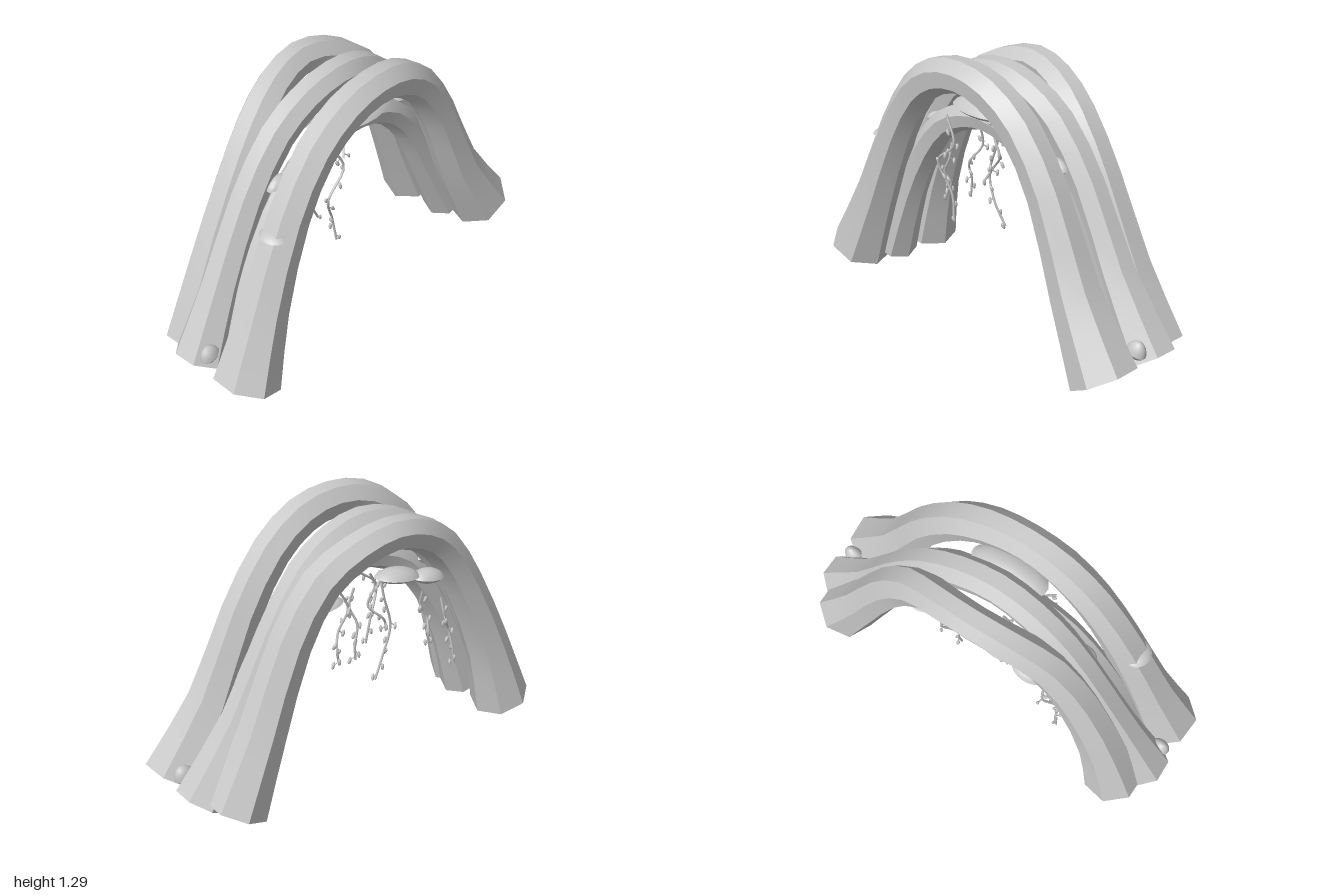
import * as THREE from 'three';
import { toCreasedNormals } from 'three/addons/utils/BufferGeometryUtils.js';

const SIDES = 7, RINGS = 20, LEAN = 0.03;
const V = (x, y, z) => new THREE.Vector3(x, y, z);

// Seven-sided trunk from half stations [x, y, z, radius], foot to crown, mirrored
// and leaning slightly to the right between the feet.
// Every side has its own vertices: smooth along the trunk, sharp around it.
function archGeometry(half, turn) {
  const mirrored = half.slice(0, -1).reverse().map(([x, y, z, r]) => [-x, y, z, r]);
  const stations = [...half, ...mirrored];
  const last = stations.length - 1;
  const path = new THREE.CatmullRomCurve3(
    stations.map(([x, y, z], i) => V(i % last ? x - LEAN : x, y, z)));
  const girth = new THREE.CatmullRomCurve3(stations.map((s, i) => V(s[3], i, 0)), false, 'catmullrom');
  const at = (i, j) => {
    const t = i / RINGS, p = path.getPoint(t), d = path.getTangent(t), r = girth.getPoint(t).x;
    const n = V(d.y, -d.x, 0).normalize();
    const a = turn + (j / SIDES) * Math.PI * 2;
    return p.addScaledVector(n, r * Math.sin(a)).add(V(0, 0, r * Math.cos(a)));
  };
  const pos = [], idx = [];
  const push = (p) => pos.push(p.x, p.y, p.z) / 3 - 1;
  for (let j = 0; j < SIDES; j++) {
    for (let i = 0; i <= RINGS; i++) {
      const k = push(at(i, j));
      push(at(i, j + 1));
      if (i < RINGS) idx.push(k, k + 1, k + 2, k + 1, k + 3, k + 2);
    }
  }
  // Flat cut ends
  for (const i of [0, RINGS]) {
    const c = push(path.getPoint(i / RINGS));
    for (let j = 0; j < SIDES; j++) push(at(i, j));
    for (let j = 0; j < SIDES; j++) {
      const a = c + 1 + j, b = c + 1 + ((j + 1) % SIDES);
      if (i === 0) idx.push(c, b, a); else idx.push(c, a, b);
    }
  }
  const g = new THREE.BufferGeometry();
  g.setAttribute('position', new THREE.Float32BufferAttribute(pos, 3));
  g.setIndex(idx);
  g.computeVertexNormals();
  return g;
}

export function createModel() {
  const model = new THREE.Group();
  model.name = 'trunkArch';
  const grey = new THREE.MeshStandardMaterial({ color: 0xc8c8c8 });
  grey.name = 'plain grey';
  let seed = 7;
  const rand = () => (seed = (seed * 16807) % 2147483647) / 2147483647;
  const add = (parent, name, geometry) => {
    const m = new THREE.Mesh(geometry, grey);
    m.name = name;
    parent.add(m);
    return m;
  };

  // Four bent trunks side by side, each turned a little about its own length
  const trunks = {
    frontTrunk: [18, [[.865, .077, .188, .157], [.695, .41, .175, .115], [.52, .8, .17, .096],
      [.348, 1.05, .175, .092], [.178, 1.168, .185, .09], [0, 1.203, .19, .086]]],
    middleTrunk: [12, [[.89, .085, -.07, .127], [.7, .42, -.073, .094], [.512, .78, -.073, .084],
      [.337, 1.02, -.06, .082], [.172, 1.125, -.045, .08], [0, 1.16, -.036, .08]]],
    backTrunk: [14, [[.795, .07, -.195, .148], [.665, .4, -.185, .112], [.497, .78, -.172, .098],
      [.337, 1.02, -.182, .092], [.172, 1.135, -.217, .084], [0, 1.178, -.235, .08]]],
    lowerTrunk: [12, [[.76, .07, .05, .11], [.6, .42, .042, .085], [.45, .7, .04, .076],
      [.3, .868, .045, .07], [.15, .943, .045, .066], [0, .967, .045, .064]]],
  };
  for (const [name, [turn, half]] of Object.entries(trunks)) {
    add(model, name, archGeometry(half, THREE.MathUtils.degToRad(turn)));
  }

  // Shelf mushrooms: flattened lenses with a sharp rim [x, y, z, rx, height, rz, tilt]
  const fungi = new THREE.Group();
  fungi.name = 'shelfMushrooms';
  model.add(fungi);
  const profile = [[0, -.6], [.4, -.52], [.75, -.3], [1, 0], [.9, .25], [.7, .52], [.38, .75], [0, .85]]
    .map(([x, y]) => new THREE.Vector2(x, y));
  const shelf = toCreasedNormals(new THREE.LatheGeometry(profile, 18), 0.8);
  [
    [0, 1.038, .1, .187, .066, .1, 0],
    [.11, 1.015, .1, .09, .045, .065, .1],
    [-.13, .925, -.17, .12, .05, .075, .15],
    [-.29, .885, -.195, .09, .05, .06, .15],
    [.4, .86, -.205, .075, .03, .045, 0],
    [.28, .915, -.19, .08, .035, .055, -.1],
    [.39, .865, .015, .06, .035, .035, -.3],
    [-.45, .85, .015, .06, .035, .035, .3],
    [-.635, .757, .17, .065, .032, .07, 0],
    [.91, .17, .04, .05, .065, .038, -.4],
    [-.92, .17, .02, .05, .065, .038, .4],
  ].forEach(([x, y, z, rx, h, rz, tilt]) => {
    const m = add(fungi, 'shelfMushroom', shelf);
    m.position.set(x, y, z);
    m.scale.set(rx, h, rz);
    m.rotation.z = tilt;
  });

  // Hanging vines with side twigs and buds
  const vines = new THREE.Group();
  vines.name = 'hangingVines';
  model.add(vines);
  const bud = new THREE.SphereGeometry(1, 6, 4);
  const strands = [
    { z: -.2, p: [[-.37, .76], [-.38, .66], [-.44, .56], [-.45, .46], [-.46, .38]] },
    { z: -.04, p: [[-.4, .72], [-.4, .64], [-.44, .56], [-.43, .49], [-.45, .42]] },
    { z: .14, p: [[-.22, .96], [-.16, .83], [-.27, .72], [-.21, .56], [-.19, .43]] },
    { z: -.08, p: [[-.1, .93], [-.12, .8], [-.17, .62], [-.13, .48], [-.07, .37]] },
    { z: -.06, p: [[-.06, .92], [-.1, .84], [-.06, .75], [-.13, .67], [-.17, .59]] },
    { z: -.15, p: [[.1, .93], [.12, .84], [.09, .75], [.11, .65], [.1, .57]] },
    { z: -.15, p: [[.19, .95], [.13, .83], [.18, .72], [.21, .64], [.17, .56]] },
  ];
  for (const { z, p } of strands) {
    const vine = new THREE.Group();
    vine.name = 'vine';
    vines.add(vine);
    const points = p.map(([x, y], i) => V(x, y, z + (i ? (rand() - .5) * .04 : 0)));
    const curve = new THREE.CatmullRomCurve3(points);
    add(vine, 'vineStem', new THREE.TubeGeometry(curve, 20, .006, 5));
    for (let k = 1; k <= 8; k++) {
      const start = curve.getPoint(k / 8.5);
      const angle = k * 2.4 + rand();
      const reach = .012 + rand() * .016;
      const tip = start.clone().add(V(Math.cos(angle) * reach, -.018, Math.sin(angle) * reach));
      add(vine, 'vineTwig', new THREE.TubeGeometry(new THREE.LineCurve3(start, tip), 1, .003, 4));
      const leaf = add(vine, 'vineBud', bud);
      leaf.position.copy(tip);
      leaf.scale.set(.009, .018, .008);
      leaf.rotation.set(0, angle, Math.cos(angle) * .6);
    }
  }
  return model;
}
